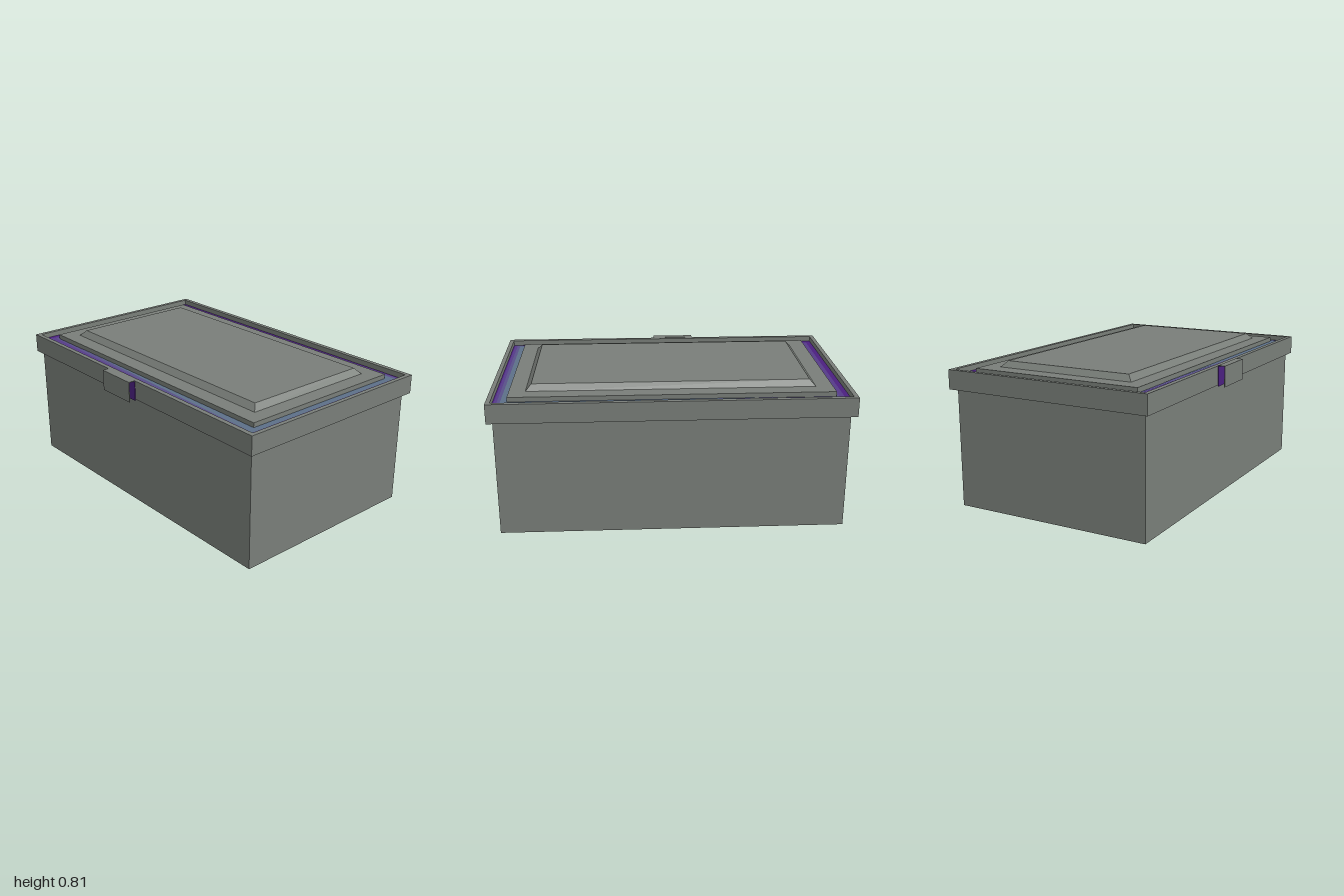
import * as THREE from 'three';

const mat = (name, color) => {
  const m = new THREE.MeshStandardMaterial({ color });
  m.name = name;
  return m;
};

export function createModel() {
  const grey = mat('grey metal', 0x797e79);
  const deepPurple = mat('deep purple', 0x4b2080);
  const purple = mat('purple', 0x553a88);
  const violet = mat('slate violet', 0x585088);
  const blue = mat('slate blue', 0x5c7088);

  const model = new THREE.Group();
  model.name = 'lidded box';

  const add = (name, geometry, material, x = 0, y = 0, z = 0, parent = model) => {
    const mesh = new THREE.Mesh(geometry, material);
    mesh.name = name;
    mesh.position.set(x, y, z);
    parent.add(mesh);
    return mesh;
  };
  // Box given by its limits on each axis
  const block = (name, material, x0, x1, y0, y1, z0, z1, parent) =>
    add(name, new THREE.BoxGeometry(x1 - x0, y1 - y0, z1 - z0), material,
      (x0 + x1) / 2, (y0 + y1) / 2, (z0 + z1) / 2, parent);

  // Body
  block('body', grey, -0.97, 0.97, 0, 0.68, -0.602, 0.567);

  // Lid: slab below, raised rim around a groove, panel in the middle
  const lid = new THREE.Group();
  lid.name = 'lid';
  lid.position.z = -0.021;
  model.add(lid);
  block('lidSlab', grey, -1, 1, 0.67, 0.748, -0.616, 0.616, lid);

  const corners = (x, z) => [[-x, -z], [x, -z], [x, z], [-x, z]].map(p => new THREE.Vector2(...p));
  const rimShape = new THREE.Shape(corners(1, 0.616));
  rimShape.holes.push(new THREE.Path(corners(0.975, 0.589)));
  const rim = new THREE.ExtrudeGeometry(rimShape, { depth: 0.032, bevelEnabled: false });
  rim.rotateX(-Math.PI / 2);
  add('lidRim', rim, grey, 0, 0.748, 0, lid);

  // Painted groove floor: bands that widen towards +x, [left, right, half depth left, half depth right]
  [
    [deepPurple, -0.975, 0.975, 0.589, 0.589],
    [purple, -0.945, 0.966, 0.545, 0.58],
    [violet, -0.915, 0.95, 0.518, 0.57],
    [blue, -0.65, 0.932, 0.505, 0.55],
  ].forEach(([material, x0, x1, zl, zr], i) => {
    const band = new THREE.Shape([[x0, -zl], [x1, -zr], [x1, zr], [x0, zl]].map(p => new THREE.Vector2(...p)));
    const geometry = new THREE.ShapeGeometry(band);
    geometry.rotateX(-Math.PI / 2);
    add('grooveBand' + (i + 1), geometry, material, 0, 0.7495 + i * 0.0015, 0, lid);
  });

  block('lidPanel', grey, -0.9, 0.895, 0.745, 0.78, -0.508, 0.505, lid);

  // Raised centre with sloping edges
  const raised = new THREE.BoxGeometry(1.61, 0.034, 0.83).toNonIndexed();
  const pos = raised.attributes.position;
  for (let i = 0; i < pos.count; i++) {
    if (pos.getY(i) > 0) {
      pos.setX(i, Math.sign(pos.getX(i)) * 0.773);
      pos.setZ(i, Math.sign(pos.getZ(i)) * 0.383);
    }
  }
  raised.computeVertexNormals();
  add('raisedCentre', raised, grey, 0, 0.796, -0.001, lid);

  // Clasp: open-ended hook of thin plates
  const clasp = new THREE.Group();
  clasp.name = 'clasp';
  model.add(clasp);
  block('claspFront', grey, -0.19, 0.06, 0.662, 0.782, 0.633, 0.637, clasp);
  block('claspTop', grey, -0.19, 0.06, 0.778, 0.782, 0.595, 0.633, clasp);
  block('claspBack', deepPurple, -0.19, 0.06, 0.662, 0.778, 0.595, 0.598, clasp);

  return model;
}
